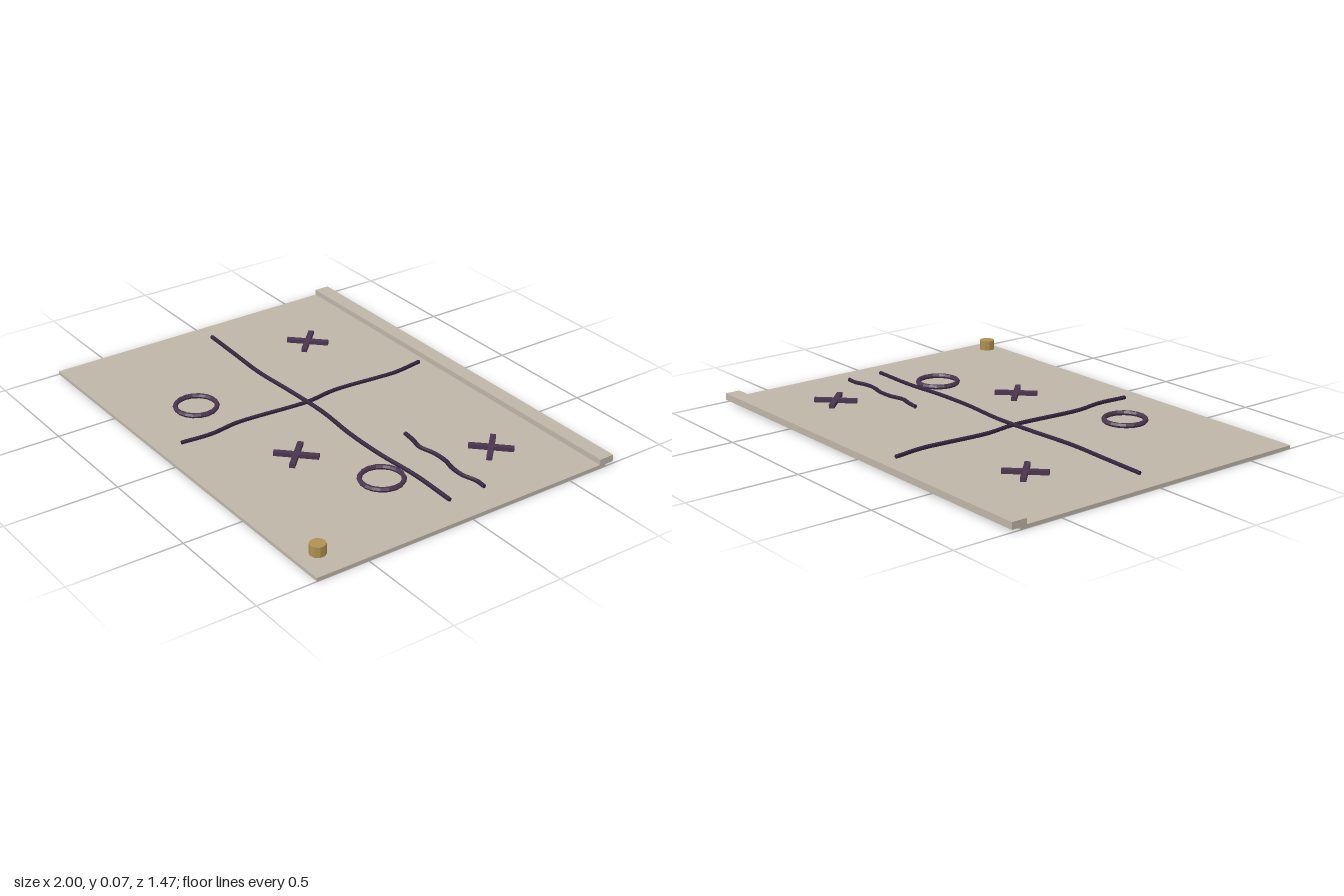
import * as THREE from 'three';

export function createModel() {
  const group = new THREE.Group();
  group.name = 'gameBoard';
  const mat = (name, color) => {
    const m = new THREE.MeshStandardMaterial({ color, flatShading: true });
    m.name = name;
    return m;
  };
  const stone = mat('paleStone', 0xbfb5a8);
  const ink = mat('darkInk', 0x33233d);
  const plum = mat('plum', 0x4b3550);
  const brass = mat('brass', 0xae9050);

  const add = (name, geometry, material, x = 0, y = 0, z = 0, parent = group) => {
    const mesh = new THREE.Mesh(geometry, material);
    mesh.name = name;
    mesh.position.set(x, y, z);
    parent.add(mesh);
    return mesh;
  };

  // Slab and raised rear ledge
  add('board', new THREE.BoxGeometry(2, 0.015, 1.43), stone, 0, 0.0075, 0.02);
  add('rearLedge', new THREE.BoxGeometry(2, 0.03, 0.07), stone, 0, 0.025, -0.7);

  // Wavy grid strokes laid on the slab, closed at both ends
  const stroke = (name, points) => {
    const path = new THREE.CatmullRomCurve3(points.map(([x, z]) => new THREE.Vector3(x, 0.026, z)));
    add(name, new THREE.TubeGeometry(path, 32, 0.0095, 6), ink);
    for (const t of [0, 1]) {
      const p = path.getPointAt(t);
      const cap = add(name + 'End', new THREE.CircleGeometry(0.0095, 6), ink, p.x, p.y, p.z);
      cap.lookAt(p.clone().addScaledVector(path.getTangentAt(t), t ? 1 : -1));
    }
  };
  stroke('lengthwiseStroke', [[-0.13, -0.62], [-0.11, -0.47], [-0.115, -0.38], [-0.13, -0.15],
    [-0.11, 0], [-0.13, 0.35], [-0.11, 0.49], [-0.12, 0.63]]);
  stroke('crosswiseStroke', [[-0.88, 0.005], [-0.67, 0.014], [-0.46, 0.023], [-0.235, 0.01], [0, 0.003],
    [0.22, 0.02], [0.43, 0.02], [0.645, 0.005], [0.87, 0.01]]);
  stroke('shortStroke', [[0.353, -0.17], [0.415, -0.162], [0.475, -0.149], [0.55, -0.165], [0.625, -0.165],
    [0.685, -0.151], [0.75, -0.149], [0.82, -0.167], [0.87, -0.164]]);

  // Cross markers
  for (const [x, z] of [[-0.588, -0.33], [0.647, -0.388], [0.235, 0.3]]) {
    const cross = new THREE.Group();
    cross.name = 'crossMarker';
    cross.position.set(x, 0.026, z);
    for (const side of [-1, 1]) {
      add('crossArm', new THREE.BoxGeometry(0.19, 0.018, 0.024), plum, 0, 0, 0, cross)
        .rotation.y = side * Math.PI / 4;
    }
    group.add(cross);
  }

  // Ring markers
  for (const [x, z] of [[-0.353, 0.415], [0.588, 0.13]]) {
    add('ringMarker', new THREE.TorusGeometry(0.09, 0.011, 6, 18), plum, x, 0.028, z)
      .rotation.x = Math.PI / 2;
  }

  // Small corner peg
  add('cornerPeg', new THREE.CylinderGeometry(0.034, 0.034, 0.045, 10), brass, 0.88, 0.0485, 0.648);

  return group;
}
